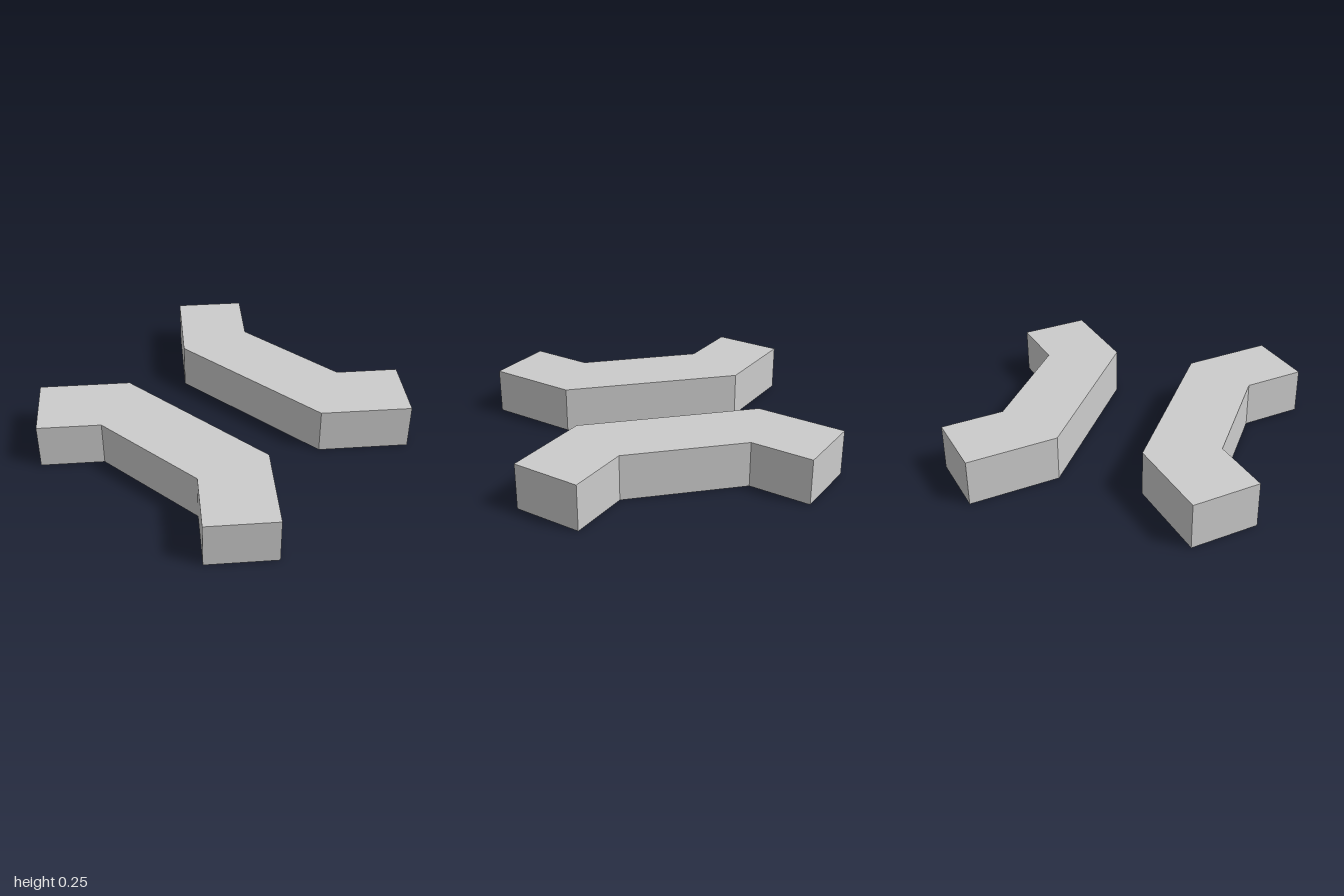
import * as THREE from 'three';

const HEIGHT = 0.25;
const HALF_WIDTH = 0.187; // half the width of each straight leg
const OUTER = 0.508;      // where the outer side starts to turn
const INNER = 0.66;       // where the inner side starts to turn

// One bent bar: two straight legs joined by a diagonal run, drawn as (x, z)
function bentBarGeometry() {
  const half = [[-1, HALF_WIDTH], [-1, -HALF_WIDTH], [-OUTER, -HALF_WIDTH]];
  const innerTurn = [-INNER, HALF_WIDTH];
  // the second leg is the first mirrored across the diagonal
  const mirror = ([x, z]) => [-z, -x];
  const outline = [...half, ...[...half].reverse().map(mirror), mirror(innerTurn), innerTurn];

  const shape = new THREE.Shape(outline.map(([x, z]) => new THREE.Vector2(x, z)));
  const geometry = new THREE.ExtrudeGeometry(shape, { depth: HEIGHT, bevelEnabled: false });
  geometry.rotateX(Math.PI / 2); // lay flat: outline y becomes z
  geometry.translate(0, HEIGHT, 0);
  return geometry;
}

export function createModel() {
  const model = new THREE.Group();
  model.name = 'bentBarPair';
  const material = new THREE.MeshStandardMaterial({ color: 0xcccccc, flatShading: true });
  const geometry = bentBarGeometry();

  // Two identical bars, half a turn apart
  ['frontRightBar', 'backLeftBar'].forEach((name, i) => {
    const bar = new THREE.Mesh(geometry, material);
    bar.name = name;
    bar.rotation.y = i * Math.PI;
    model.add(bar);
  });
  return model;
}
